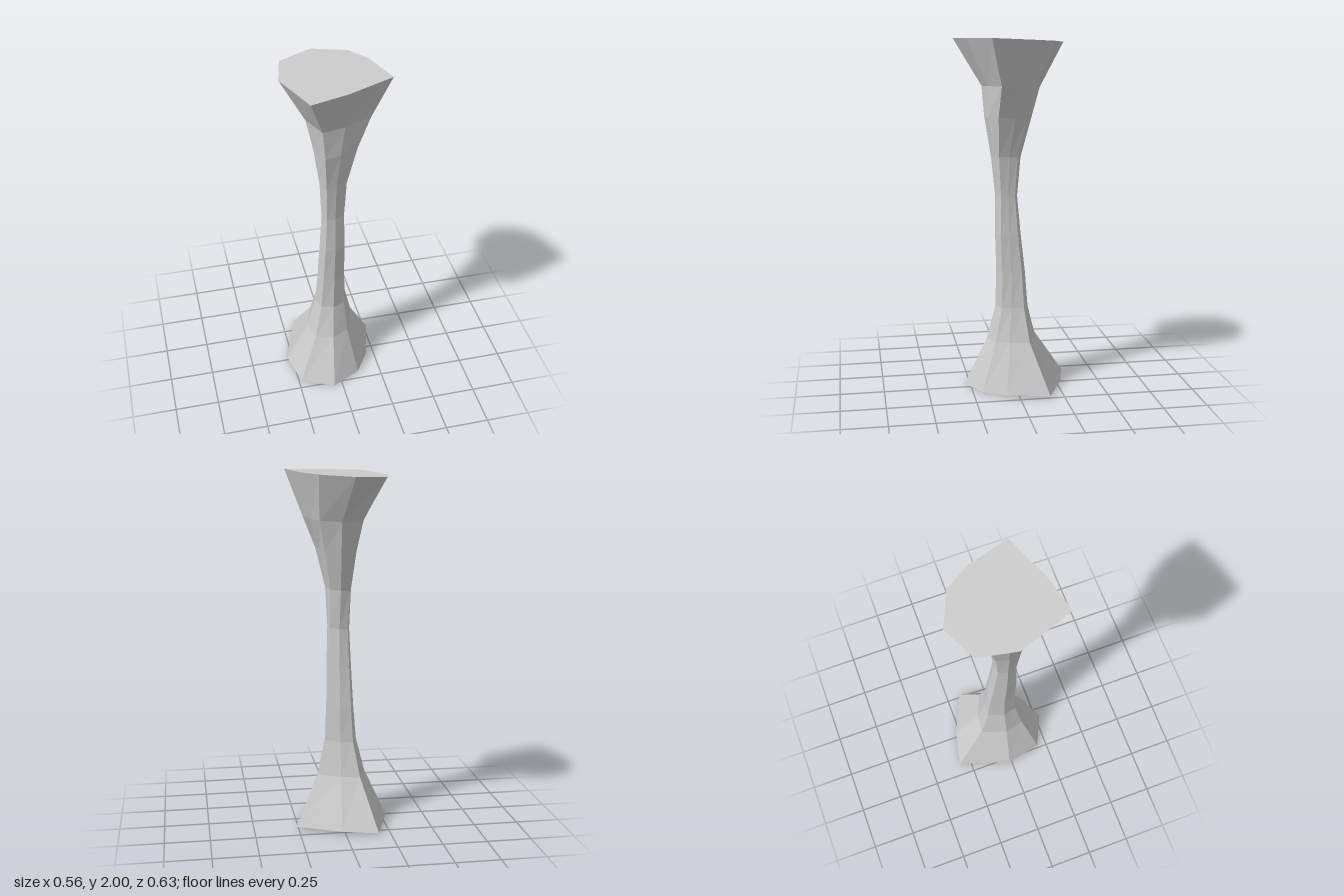
import * as THREE from 'three';

// Outlines (x, z) of the flared ends, counter-clockwise seen from above
const TOP = [[-0.18, 0.315], [0.02, 0.265], [0.278, 0.16], [0.215, -0.075],
  [0.135, -0.207], [-0.05, -0.288], [-0.235, -0.2], [-0.28, 0.013]];
const BOTTOM = [[-0.235, 0.195], [-0.05, 0.28], [0.115, 0.2], [0.2, 0.07],
  [0.265, -0.165], [0.02, -0.275], [-0.18, -0.32], [-0.28, -0.015]];

// Extent of each ring from bottom to top: y, min x, max x, min z, max z
const LEVELS = [
  [0.011, -0.28, 0.265, -0.32, 0.28],
  [0.285, -0.155, 0.13, -0.14, 0.155],
  [0.48, -0.105, 0.085, -0.085, 0.105],
  [0.68, -0.09, 0.07, -0.065, 0.1],
  [0.9, -0.08, 0.06, -0.04, 0.105],
  [1.12, -0.07, 0.05, -0.02, 0.1],
  [1.34, -0.08, 0.06, -0.04, 0.12],
  [1.56, -0.11, 0.115, -0.1, 0.155],
  [1.73, -0.145, 0.185, -0.145, 0.167],
  [1.984, -0.28, 0.278, -0.288, 0.315],
];

// Rescale one coordinate of a ring to span min..max
function fit(values, min, max) {
  const lo = Math.min(...values), hi = Math.max(...values);
  return values.map((v) => min + ((v - lo) / (hi - lo)) * (max - min));
}

// Blend the two outlines, fit them to the level and tilt the ring slightly
function makeRing([y, x0, x1, z0, z1], level) {
  const t = level / (LEVELS.length - 1);
  const blend = (axis) => BOTTOM.map((p, i) => THREE.MathUtils.lerp(p[axis], TOP[i][axis], t));
  const xs = fit(blend(0), x0, x1);
  const zs = fit(blend(1), z0, z1);
  const tiltX = 0.02 + 0.02 * t + 0.06 * Math.sin(Math.PI * t);
  const tiltZ = -0.02 + 0.06 * t;
  return xs.map((x, i) => [x, y + tiltX * x + tiltZ * zs[i], zs[i]]);
}

export function createModel() {
  const group = new THREE.Group();
  group.name = 'rockPillar';
  const material = new THREE.MeshStandardMaterial({ color: 0xcccccc, flatShading: true });

  const rings = LEVELS.map(makeRing);
  const n = TOP.length;

  function addMesh(name, positions) {
    const geometry = new THREE.BufferGeometry();
    geometry.setAttribute('position', new THREE.Float32BufferAttribute(positions.flat(), 3));
    geometry.computeVertexNormals();
    const mesh = new THREE.Mesh(geometry, material);
    mesh.name = name;
    group.add(mesh);
  }

  // Faceted shaft, pinched at the waist
  const shaft = [];
  for (let r = 0; r < rings.length - 1; r++) {
    for (let i = 0; i < n; i++) {
      const j = (i + 1) % n;
      const a = rings[r][i], b = rings[r][j], c = rings[r + 1][j], d = rings[r + 1][i];
      shaft.push(a, b, c, a, c, d);
    }
  }
  addMesh('shaft', shaft);

  // Flat end faces as fans around their middle
  function addCap(name, ring, up) {
    const middle = [0, 1, 2].map((k) => ring.reduce((sum, p) => sum + p[k], 0) / n);
    const cap = [];
    for (let i = 0; i < n; i++) {
      const j = (i + 1) % n;
      cap.push(middle, ring[up ? i : j], ring[up ? j : i]);
    }
    addMesh(name, cap);
  }
  addCap('topFace', rings[rings.length - 1], true);
  addCap('bottomFace', rings[0], false);

  return group;
}
